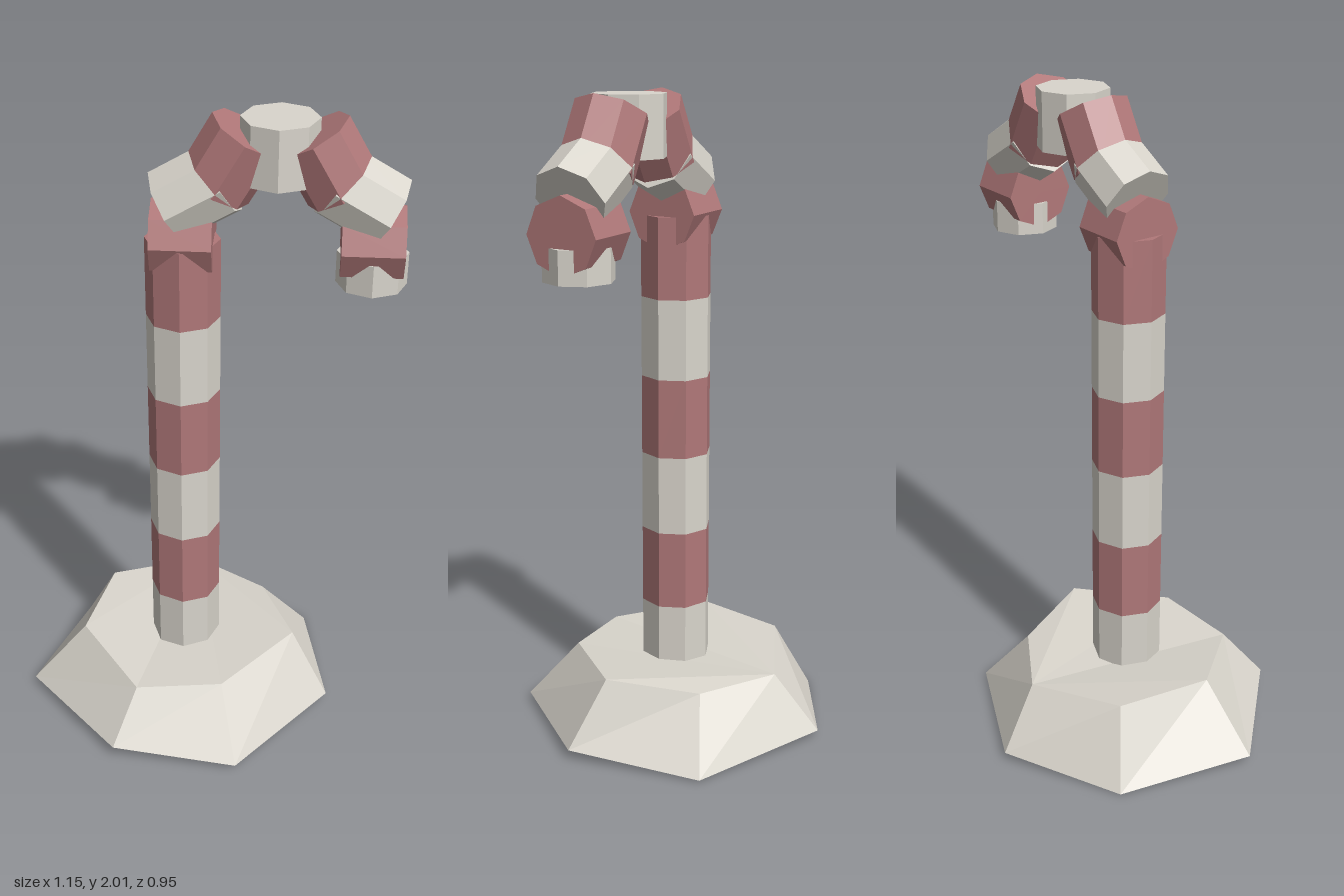
import * as THREE from 'three';

export function createModel() {
  const model = new THREE.Group();
  const stone = new THREE.MeshStandardMaterial({ name: 'pale stone', color: 0xd9d5cc, flatShading: true });
  const red = new THREE.MeshStandardMaterial({ name: 'dusty red', color: 0xb07879, flatShading: true });
  const Z = 0.023; // depth of the cane's plane

  // Octagonal block, centred at (x, y) and tilted in the cane's plane
  function block(name, material, radius, length, x, y, tilt = 0) {
    const mesh = new THREE.Mesh(new THREE.CylinderGeometry(radius, radius, length, 8), material);
    mesh.name = name;
    mesh.position.set(x, y, Z);
    mesh.rotation.z = tilt;
    model.add(mesh);
  }

  // Base: uneven seven-sided mound, lower and upper rings clockwise from above
  const lower = [
    [-0.095, 0.025, -0.478], [0.33, 0.005, -0.28], [0.41, 0.032, 0.135], [0.125, 0.02, 0.475],
    [-0.267, 0.045, 0.45], [-0.575, 0.03, 0.124], [-0.447, 0, -0.288],
  ];
  const upper = [
    [-0.055, 0.205, -0.342], [0.18, 0.205, -0.2], [0.29, 0.235, 0.07], [0.07, 0.215, 0.314],
    [-0.2, 0.2, 0.334], [-0.4, 0.235, 0.088], [-0.34, 0.23, -0.207],
  ];
  const points = [];
  const tri = (...corners) => corners.forEach((c) => points.push(...c));
  for (let i = 0; i < 7; i++) {
    const j = (i + 1) % 7;
    tri(lower[j], lower[i], upper[i]);
    tri(lower[j], upper[i], upper[j]);
    if (i > 0 && i < 6) {
      tri(upper[0], upper[j], upper[i]);
      tri(lower[0], lower[i], lower[j]);
    }
  }
  const baseGeometry = new THREE.BufferGeometry();
  baseGeometry.setAttribute('position', new THREE.Float32BufferAttribute(points, 3));
  baseGeometry.computeVertexNormals();
  const base = new THREE.Mesh(baseGeometry, stone);
  base.name = 'base';
  model.add(base);

  // Pole: six bands, alternating upwards
  const band = 0.248;
  for (let i = 0; i < 6; i++) {
    block('poleBand' + (i + 1), i % 2 ? red : stone, 0.11, band, -0.068, 0.147 + band * (i + 0.5));
  }

  // Hook: separate blocks on a half circle, each tilted against the curve
  for (let i = -3; i <= 3; i++) {
    const angle = (i * Math.PI) / 6;
    block('hookBlock' + (i + 4), i % 2 ? red : stone, 0.11, 0.177,
      0.201 + 0.268 * Math.sin(angle), 1.644 + 0.268 * Math.cos(angle), angle);
  }

  // Tip: short end piece under the last block
  block('hookTip', stone, 0.102, 0.097, 0.472, 1.563);

  return model;
}
